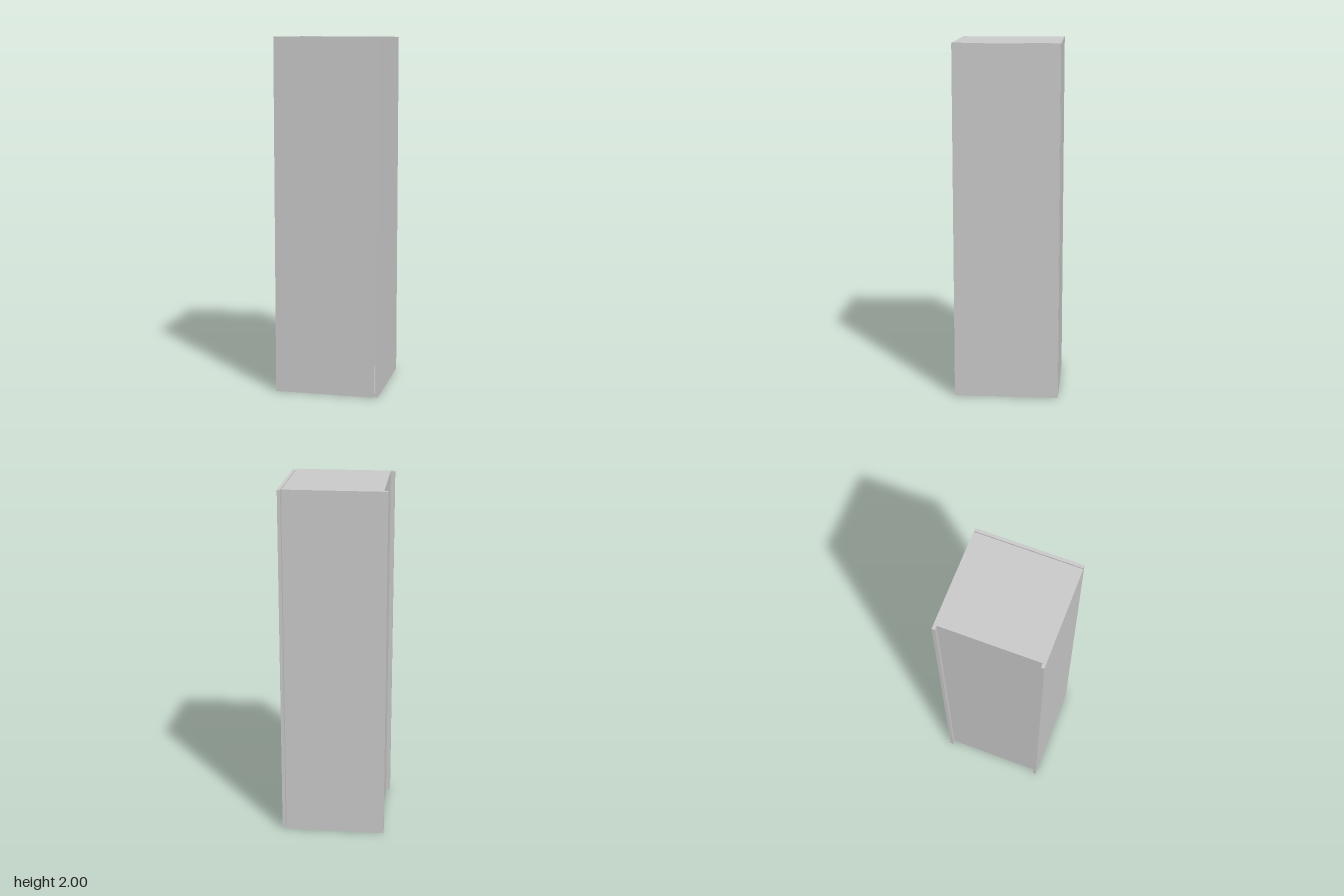
import * as THREE from 'three';

const HEIGHT = 2;
const HALF = 0.295;      // half of the outer width and depth
const BOARD = 0.018;     // board thickness
const FRONT = 0.271;     // open edge of the carcass, facing +x
const BACK = -0.271;     // outer face of the recessed back panel
const BACK_T = 0.009;    // back panel thickness
const GROOVE = 0.01;     // depth of the groove holding the back panel

export function createModel() {
  const group = new THREE.Group();
  const material = new THREE.MeshStandardMaterial({ color: 0xcccccc });

  const add = (name, geometry) => {
    const mesh = new THREE.Mesh(geometry, material);
    mesh.name = name;
    group.add(mesh);
  };

  // Box given by its limits on each axis
  const board = (name, x0, x1, y0, y1, z0, z1) => {
    const g = new THREE.BoxGeometry(x1 - x0, y1 - y0, z1 - z0);
    g.translate((x0 + x1) / 2, (y0 + y1) / 2, (z0 + z1) / 2);
    add(name, g);
  };

  // Side panels: full-height boards with a groove near the rear edge
  const inner = HALF - BOARD;
  for (const s of [1, -1]) {
    const plan = [
      [-HALF, HALF], [FRONT, HALF], [FRONT, inner], [BACK + BACK_T + 0.001, inner],
      [BACK + BACK_T + 0.001, inner + GROOVE], [BACK, inner + GROOVE],
      [BACK, inner], [-HALF, inner],
    ].map(([x, z]) => new THREE.Vector2(x, -s * z));
    const g = new THREE.ExtrudeGeometry(new THREE.Shape(plan), {
      depth: HEIGHT, bevelEnabled: false,
    });
    g.rotateX(-Math.PI / 2);
    add(s > 0 ? 'frontSidePanel' : 'rearSidePanel', g);
  }

  // Top and bottom boards between the sides
  const inside = BACK + BACK_T;
  board('bottomPanel', inside, FRONT, 0, BOARD, -inner, inner);
  board('topPanel', inside, FRONT, HEIGHT - BOARD, HEIGHT, -inner, inner);

  // Thin back panel seated in the grooves
  const seat = inner + GROOVE - 0.001;
  board('backPanel', BACK, inside, 0, HEIGHT, -seat, seat);

  // Door standing slightly clear of the carcass
  board('door', HALF - BOARD, HALF, 0.003, HEIGHT - 0.003, -HALF + 0.002, HALF - 0.002);

  return group;
}
